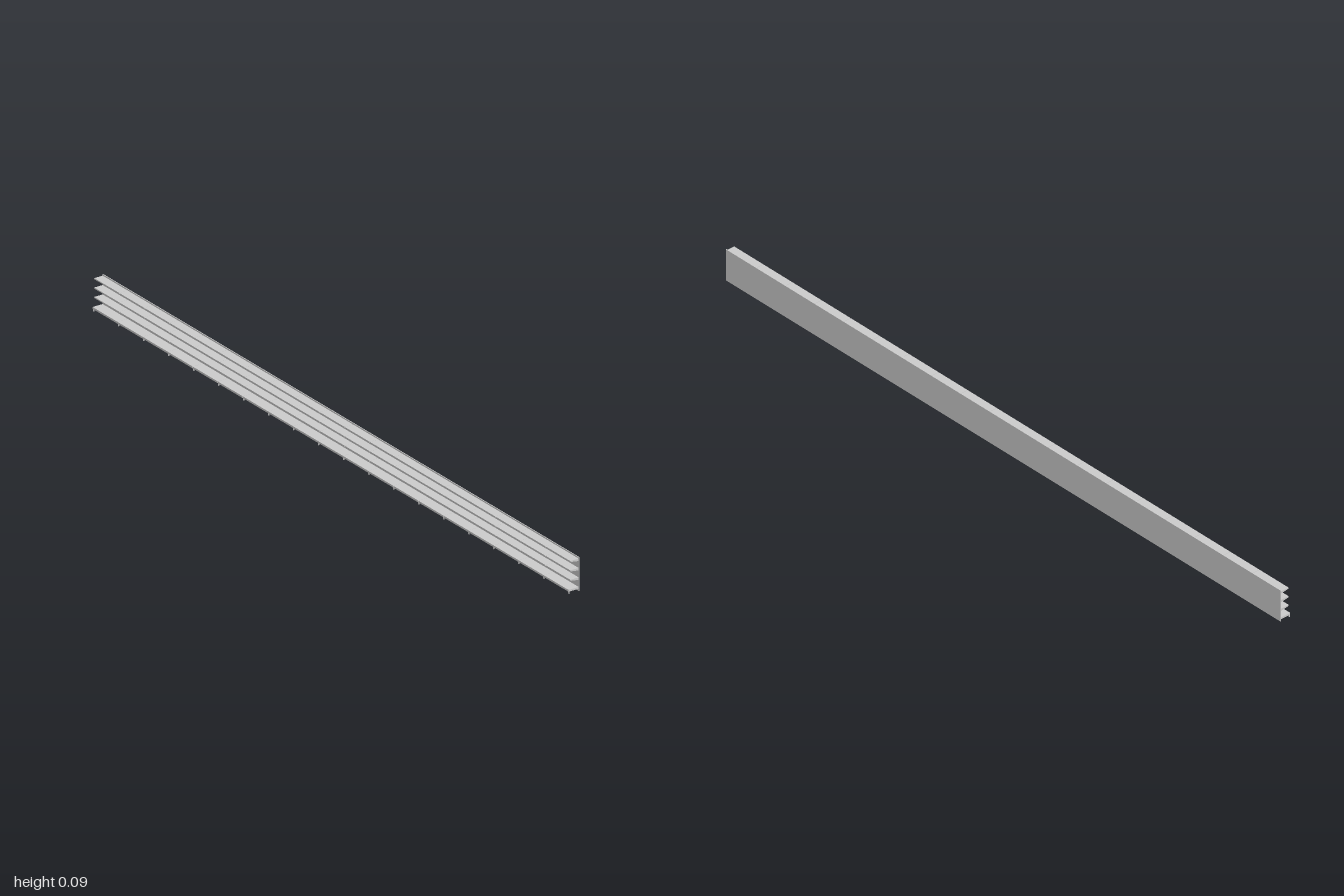
import * as THREE from 'three';

const LENGTH = 2, BAYS = 19, PITCH = LENGTH / BAYS;
const PANEL_X = 0.0135; // inner face of the back panel

export function createModel() {
  const model = new THREE.Group();
  model.name = 'wallShelving';
  const material = new THREE.MeshStandardMaterial({ color: 0xcccccc, flatShading: true });

  const add = (name, geometry, x = 0, y = 0, z = 0) => {
    const mesh = new THREE.Mesh(geometry, material);
    mesh.name = name;
    mesh.position.set(x, y, z);
    model.add(mesh);
  };

  // A box given by its x and y limits, centred on a z position
  const slab = (name, x0, x1, y0, y1, depth, z = 0) =>
    add(name, new THREE.BoxGeometry(x1 - x0, y1 - y0, depth), (x0 + x1) / 2, (y0 + y1) / 2, z);

  // An x-y outline extruded along z
  const extrude = (points, depth) => {
    const shape = new THREE.Shape(points.map(([x, y]) => new THREE.Vector2(x, y)));
    const geometry = new THREE.ExtrudeGeometry(shape, { depth, bevelEnabled: false });
    return geometry.translate(0, 0, -depth / 2);
  };

  // Long thin back panel
  slab('backPanel', PANEL_X, PANEL_X + 0.002, 0, 0.09, LENGTH);

  // Shelf plate with a front lip, and the tapered bracket below it
  const front = -0.0115;
  const plate = extrude([
    [front, 0], [front, -0.003], [front + 0.001, -0.003],
    [front + 0.001, -0.0012], [PANEL_X, -0.0012], [PANEL_X, 0],
  ], PITCH - 0.0008);
  const bracket = extrude([
    [front + 0.001, -0.0012], [front + 0.001, -0.003], [PANEL_X, -0.0065], [PANEL_X, -0.0012],
  ], 0.0012);

  for (let i = 0; i < BAYS; i++) {
    const z = -LENGTH / 2 + (i + 0.5) * PITCH;
    for (const y of [0.0365, 0.0615, 0.0865]) {
      add('shelf', plate, 0, y, z);
      for (const side of [-1, 1]) add('shelfBracket', bracket, 0, y, z + side * (PITCH / 2 - 0.001));
    }
    // Deep base shelf
    slab('baseShelf', -0.0165, PANEL_X, 0.006, 0.011, PITCH - 0.0008, z);
  }

  // Small feet under the front of the base at every bay joint
  for (let i = 0; i <= BAYS; i++) {
    const z = -LENGTH / 2 + 0.002 + (i / BAYS) * (LENGTH - 0.004);
    slab('foot', -0.0155, -0.0130, 0, 0.006, 0.003, z);
  }

  // The run stands very slightly askew to the z axis
  model.rotation.y = -0.0045;
  const group = new THREE.Group();
  group.name = 'shelvingRun';
  group.add(model);
  return group;
}
